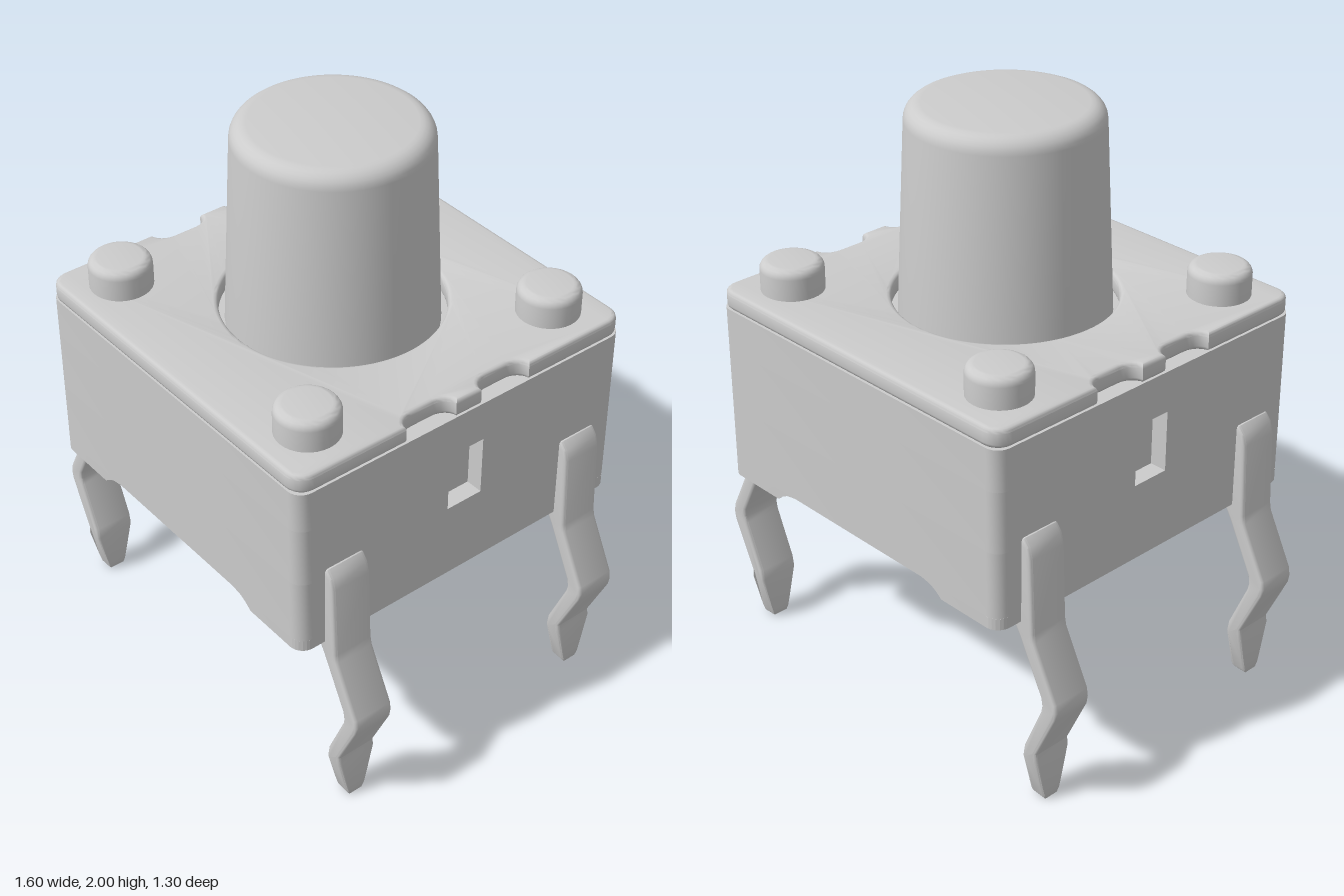
import * as THREE from 'three';
import { toCreasedNormals } from 'three/addons/utils/BufferGeometryUtils.js';

const material = new THREE.MeshStandardMaterial({ color: 0xcccccc });
const HALF = 0.65;

function part(name, geometry, parent) {
  const g = geometry.index ? geometry.toNonIndexed() : geometry;
  const mesh = new THREE.Mesh(toCreasedNormals(g, 0.6), material);
  mesh.name = name;
  parent.add(mesh);
  return mesh;
}

// Rounded square plan with notches cut into the two x sides.
// Each notch is [start, end]; its corners curve over a length c.
function plan(h, r, notches = [], depth = 0, c = 0) {
  const half = [];
  const corner = (cy, from) => {
    for (let i = 0; i <= 6; i++) {
      const a = from + (i / 6) * Math.PI / 2;
      half.push(new THREE.Vector2(h - r + r * Math.cos(a), cy + r * Math.sin(a)));
    }
  };
  corner(r - h, -Math.PI / 2);
  const n = c ? 6 : 1;
  for (const [a, b] of notches) {
    for (let i = 0; i <= n; i++) {
      const t = (i / n) * Math.PI / 2;
      half.push(new THREE.Vector2(h - depth * Math.sin(t), a + c * (1 - Math.cos(t))));
    }
    for (let i = n; i >= 0; i--) {
      const t = (i / n) * Math.PI / 2;
      half.push(new THREE.Vector2(h - depth * Math.sin(t), b - c * (1 - Math.cos(t))));
    }
  }
  corner(h - r, 0);
  return new THREE.Shape([...half, ...half.map(p => p.clone().negate())]);
}

// Extrude a plan upwards from y0 to y1, with an optional rounded rim.
function slab(shape, y0, y1, bevel = 0, steps = 1) {
  const g = new THREE.ExtrudeGeometry(shape, {
    depth: y1 - y0 - 2 * bevel, steps, curveSegments: 48,
    bevelEnabled: bevel > 0, bevelSize: bevel, bevelThickness: bevel,
    bevelOffset: -bevel, bevelSegments: 3,
  });
  return g.rotateX(-Math.PI / 2).translate(0, y0 + bevel, 0);
}

// Turned profile with a rounded top edge.
function knob(r0, r1, y0, y1, fillet, segments) {
  const pts = [new THREE.Vector2(0, y0), new THREE.Vector2(r0, y0)];
  for (let i = 0; i <= 6; i++) {
    const a = (i / 6) * Math.PI / 2;
    pts.push(new THREE.Vector2(r1 - fillet + fillet * Math.cos(a), y1 - fillet + fillet * Math.sin(a)));
  }
  pts.push(new THREE.Vector2(0, y1));
  return new THREE.LatheGeometry(pts, segments);
}

// Raised rail under one side; its inner wall curves into the underside.
function railGeometry() {
  const r = 0.05, inner = 0.31;
  const s = new THREE.Shape();
  s.moveTo(inner, -HALF);
  s.lineTo(HALF - r, -HALF);
  s.absarc(HALF - r, r - HALF, r, -Math.PI / 2, 0);
  s.absarc(HALF - r, HALF - r, r, 0, Math.PI / 2);
  s.lineTo(inner, HALF);
  const g = slab(s, 0.67, 0.71, 0, 5);
  const p = g.attributes.position;
  for (let i = 0; i < p.count; i++) {
    if (p.getX(i) < inner + 0.001) {
      const t = Math.max(0, (0.71 - p.getY(i)) / 0.04);
      p.setX(i, inner + 0.09 * Math.sqrt(t));
    }
  }
  return g;
}

// Kinked flat pin: side profile extruded across its width, then tapered to the tip.
function pinGeometry() {
  const width = 0.147, bevel = 0.012;
  const s = new THREE.Shape([
    [0.61, 0.97], [0.61, 0.66], [0.64, 0.61], [0.732, 0.43], [0.737, 0.40], [0.732, 0.375],
    [0.662, 0.21], [0.656, 0.17], [0.656, 0.05], [0.656, 0.02], [0.66, 0.005],
    [0.714, 0.0], [0.718, 0.02], [0.718, 0.05], [0.718, 0.17], [0.714, 0.195],
    [0.795, 0.37], [0.80, 0.40], [0.795, 0.43], [0.703, 0.61], [0.697, 0.64],
    [0.686, 0.90], [0.676, 0.94], [0.655, 0.965],
  ].map(([x, y]) => new THREE.Vector2(x, y)));
  const g = new THREE.ExtrudeGeometry(s, {
    depth: width - 2 * bevel, bevelEnabled: true, bevelSize: bevel,
    bevelThickness: bevel, bevelOffset: -bevel, bevelSegments: 3,
  });
  g.translate(0, 0, bevel - width / 2);
  const p = g.attributes.position;
  for (let i = 0; i < p.count; i++) {
    const y = p.getY(i);
    const k = y < 0.04 ? 0.4 + y * 4 : Math.min(1, 0.56 + (y - 0.04) * 3.4);
    p.setZ(i, p.getZ(i) * k);
  }
  return g;
}

export function createModel() {
  const model = new THREE.Group();
  model.name = 'pushButtonSwitch';

  // Housing in three layers; the middle one carries the side slots
  const housing = new THREE.Group();
  housing.name = 'housing';
  model.add(housing);
  part('housingLower', slab(plan(HALF, 0.05), 0.71, 0.94), housing);
  part('housingMiddle', slab(plan(HALF, 0.05, [[-0.068, 0.068]], 0.06), 0.94, 1.15), housing);
  part('housingUpper', slab(plan(HALF, 0.05), 1.15, 1.292), housing);
  for (const turn of [0, Math.PI]) part('bottomRail', railGeometry(), housing).rotation.y = turn;

  // Cover plate with edge notches and a round opening
  const cover = plan(HALF, 0.06, [[-0.245, -0.05], [0.05, 0.245]], 0.045, 0.055);
  cover.holes.push(new THREE.Path().absarc(0, 0, 0.365, 0, Math.PI * 2, true));
  part('coverPlate', slab(cover, 1.292, 1.357, 0.015), model);

  // Plunger
  part('plunger', knob(0.346, 0.315, 1.285, 2, 0.055, 64), model);

  // Corner pegs and pins
  for (const x of [-1, 1]) {
    for (const z of [-1, 1]) {
      part('cornerPeg', knob(0.104, 0.104, 1.34, 1.46, 0.03, 32), model).position.set(x * 0.481, 0, z * 0.481);
      const pin = part('pin', pinGeometry(), model);
      pin.position.z = z * 0.479;
      if (x < 0) pin.rotation.y = Math.PI;
    }
  }
  return model;
}
